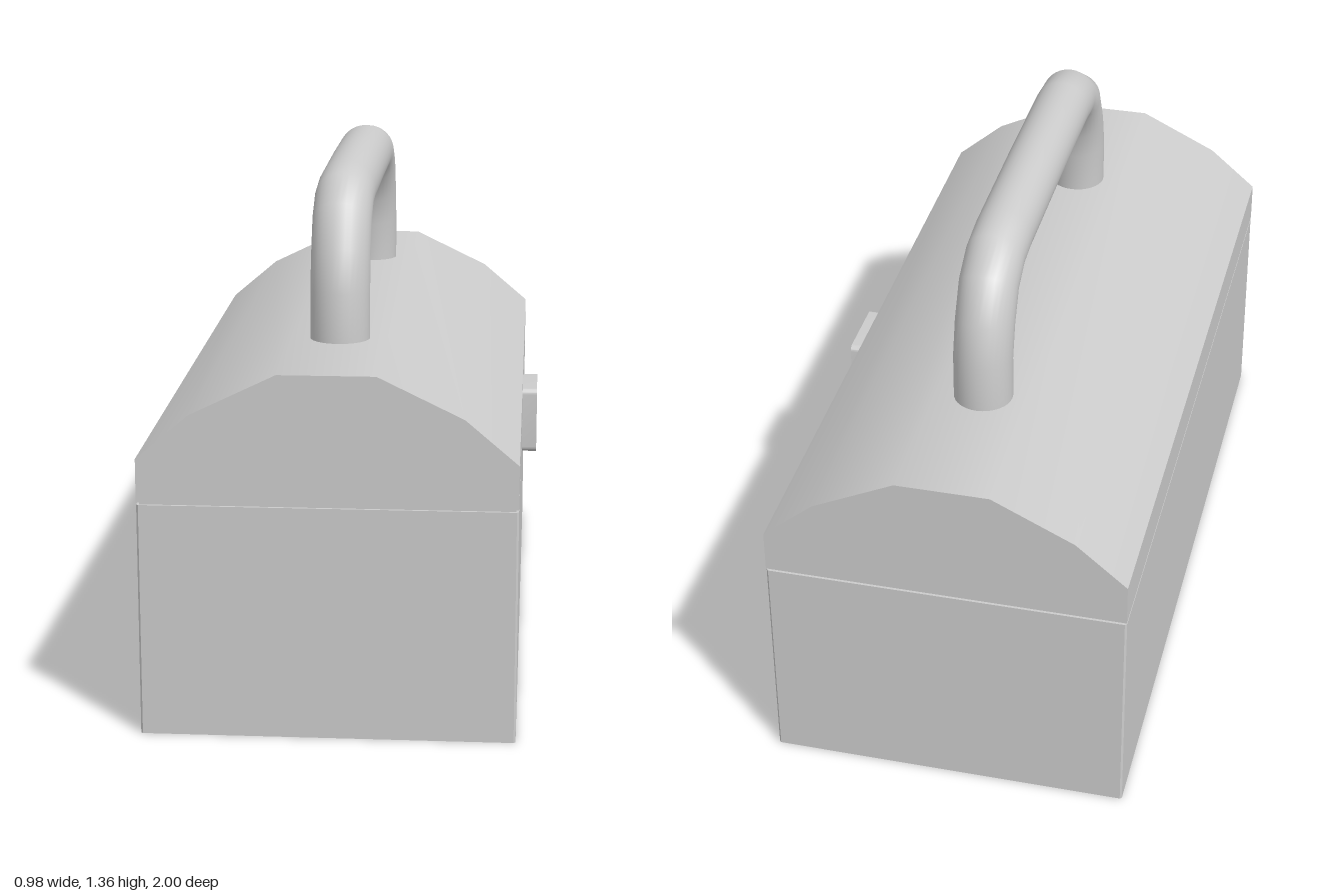
import * as THREE from 'three';
import { toCreasedNormals } from 'three/addons/utils/BufferGeometryUtils.js';

const CX = -0.02; // box centre line, leaving room for the latch on +x
const HW = 0.47, HL = 1; // half width and half length of the box
const SEAM = 0.6;

// Path whose even parameter steps land on the given points, with mitred joints
class MitredPath extends THREE.Curve {
  constructor(points) {
    super();
    this.points = points;
  }
  index(u) {
    return Math.round(u * (this.points.length - 1));
  }
  getPoint(u, target = new THREE.Vector3()) {
    return target.copy(this.points[this.index(u)]);
  }
  getPointAt(u, target) {
    return this.getPoint(u, target);
  }
  getTangentAt(u, target = new THREE.Vector3()) {
    const p = this.points, i = this.index(u);
    target.set(0, 0, 0);
    if (i > 0) target.add(p[i].clone().sub(p[i - 1]).normalize());
    if (i < p.length - 1) target.add(p[i + 1].clone().sub(p[i]).normalize());
    return target.normalize();
  }
}

export function createModel() {
  const group = new THREE.Group();
  const material = new THREE.MeshStandardMaterial({ color: 0xcccccc });
  const add = (name, geometry, x = 0, y = 0, z = 0) => {
    const mesh = new THREE.Mesh(geometry, material);
    mesh.name = name;
    mesh.position.set(x, y, z);
    group.add(mesh);
  };
  const shapeOf = (pts) => new THREE.Shape(pts.map(([x, y]) => new THREE.Vector2(x, y)));

  // Lower box: rectangular footprint with finely chamfered upright corners
  const c = 0.005;
  const footprint = shapeOf([
    [-HW + c, -HL], [HW - c, -HL], [HW, -HL + c], [HW, HL - c],
    [HW - c, HL], [-HW + c, HL], [-HW, HL - c], [-HW, -HL + c],
  ]);
  const body = new THREE.ExtrudeGeometry(footprint, { depth: SEAM - 0.003, bevelEnabled: false });
  body.rotateX(-Math.PI / 2);
  add('body', body, CX);

  // Recessed strip that forms the seam groove
  add('seam', new THREE.BoxGeometry(2 * HW - 0.014, 0.02, 2 * HL - 0.014), CX, SEAM);

  // Lid: faceted arch profile, shaded smoothly across the top
  const half = [[HW, SEAM + 0.003], [HW, 0.714], [0.337, 0.827], [0.122, 0.931]];
  const mirrored = half.map(([x, y]) => [-x, y]).reverse();
  const lid = new THREE.ExtrudeGeometry(shapeOf([...half, ...mirrored]), {
    depth: 2 * HL, bevelEnabled: false,
  });
  lid.translate(0, 0, -HL);
  add('lid', toCreasedNormals(lid, 0.61), CX);

  // Handle: a tube bent in a few straight steps, standing on the lid
  const bend = [
    [0.573, 0.91], [0.573, 1.05], [0.55, 1.14], [0.505, 1.228],
    [0.435, 1.271], [0.345, 1.282],
  ];
  const path = [
    ...bend, [0, 1.285], ...bend.map(([z, y]) => [-z, y]).reverse(),
  ].map(([z, y]) => new THREE.Vector3(0, y, z));
  add('handle', new THREE.TubeGeometry(new MitredPath(path), path.length - 1, 0.077, 32), CX);

  // Latch: rounded plate across the seam on the +x side
  const w = 0.1, h = 0.09, r = 0.015;
  const plate = new THREE.Shape();
  plate.absarc(w - r, h - r, r, 0, Math.PI / 2);
  plate.absarc(-w + r, h - r, r, Math.PI / 2, Math.PI);
  plate.absarc(-w + r, -h + r, r, Math.PI, Math.PI * 1.5);
  plate.absarc(w - r, -h + r, r, Math.PI * 1.5, Math.PI * 2);
  const latch = new THREE.ExtrudeGeometry(plate, { depth: 0.05, bevelEnabled: false, curveSegments: 5 });
  latch.rotateY(Math.PI / 2);
  add('latch', toCreasedNormals(latch, 0.7), 0.44, 0.595, 0);

  return group;
}
